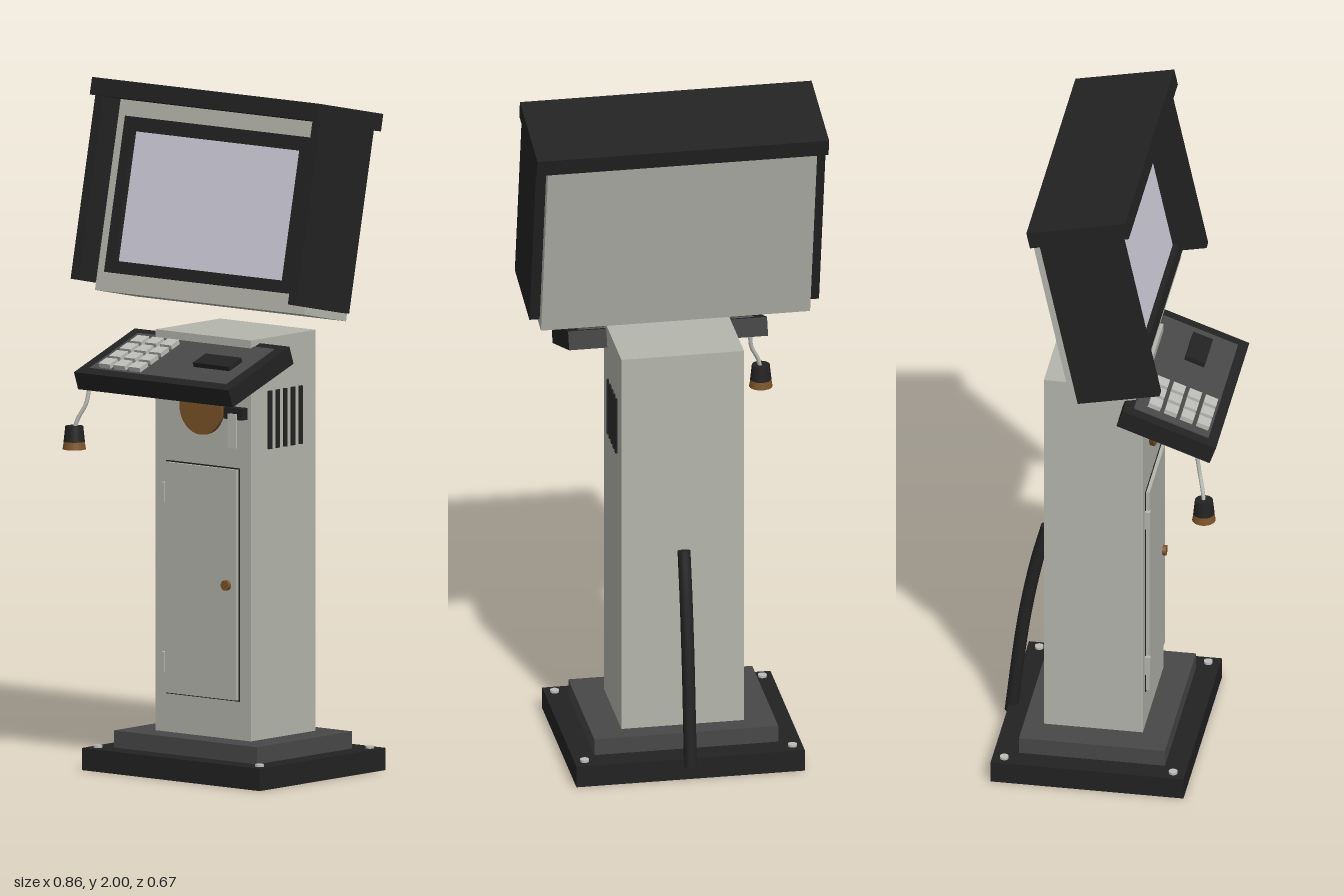
import * as THREE from 'three';

const mat = (name, color, double) => {
  const m = new THREE.MeshStandardMaterial({ color });
  m.name = name;
  if (double) m.side = THREE.DoubleSide;
  return m;
};

export function createModel() {
  const grey = mat('light grey', 0xb4b5ac);
  const black = mat('black', 0x222222);
  const dark = mat('dark grey', 0x484848);
  const glass = mat('screen lavender', 0xd0cfdb);
  const bronze = mat('bronze', 0x7c5428);
  const silver = mat('silver', 0xbcbdb8);

  const root = new THREE.Group();
  root.name = 'kiosk';

  const add = (parent, name, geo, material, x = 0, y = 0, z = 0) => {
    const m = new THREE.Mesh(geo, material);
    m.name = name;
    m.position.set(x, y, z);
    parent.add(m);
    return m;
  };
  // Box given by its limits on each axis
  const box = (parent, name, material, x0, x1, y0, y1, z0, z1) =>
    add(parent, name, new THREE.BoxGeometry(x1 - x0, y1 - y0, z1 - z0), material,
      (x0 + x1) / 2, (y0 + y1) / 2, (z0 + z1) / 2);
  // Rectangular frame, facing +z
  const frame = (x0, x1, y0, y1, hx0, hx1, hy0, hy1, depth) => {
    const rect = (P, a, b, c, d) => {
      const p = new P();
      p.moveTo(a, c); p.lineTo(b, c); p.lineTo(b, d); p.lineTo(a, d); p.closePath();
      return p;
    };
    const s = rect(THREE.Shape, x0, x1, y0, y1);
    s.holes.push(rect(THREE.Path, hx0, hx1, hy0, hy1));
    return new THREE.ExtrudeGeometry(s, { depth, bevelEnabled: false });
  };
  const disc = (parent, name, material, r, h, x, y, z) => {
    const m = add(parent, name, new THREE.CylinderGeometry(r, r, h, 32), material, x, y, z);
    m.rotation.x = Math.PI / 2;
    return m;
  };

  // Base with corner bolts
  box(root, 'basePlate', black, -0.335, 0.335, 0, 0.065, -0.32, 0.245);
  box(root, 'plinth', dark, -0.27, 0.27, 0.065, 0.115, -0.248, 0.18);
  for (const x of [-0.305, 0.305])
    for (const z of [-0.285, 0.21])
      add(root, 'baseBolt', new THREE.CylinderGeometry(0.013, 0.013, 0.008, 16), silver, x, 0.068, z);

  // Column
  box(root, 'column', grey, -0.18, 0.18, 0.115, 1.285, -0.19, 0.1);
  for (let i = 0; i < 5; i++) {
    const z = 0.018 - i * 0.0345;
    box(root, 'sideVent', black, 0.178, 0.186, 0.96, 1.13, z - 0.007, z + 0.007);
  }

  // Service door with hinges and lock
  const door = new THREE.Group();
  door.name = 'serviceDoor';
  root.add(door);
  box(door, 'doorSeam', black, -0.138, 0.138, 0.227, 0.908, 0.099, 0.102);
  box(door, 'doorPanel', grey, -0.134, 0.134, 0.231, 0.904, 0.1, 0.112);
  for (const y of [0.815, 0.32])
    box(door, 'doorHinge', grey, -0.148, -0.134, y - 0.029, y + 0.029, 0.1, 0.116);
  disc(door, 'doorLock', bronze, 0.015, 0.014, 0.1, 0.565, 0.116);

  // Round speaker and card slot on the column front
  disc(root, 'speaker', bronze, 0.08, 0.012, 0, 1.075, 0.106);
  box(root, 'cardReader', black, 0.1, 0.168, 1.053, 1.087, 0.1, 0.127);
  box(root, 'card', silver, 0.118, 0.15, 0.97, 1.07, 0.126, 0.131);

  // Monitor cabinet, leaning back; its origin is the lower front edge of the side panels
  const monitor = new THREE.Group();
  monitor.name = 'monitor';
  monitor.position.set(0, 1.42, 0.19);
  monitor.rotation.x = -0.209;
  root.add(monitor);
  box(monitor, 'cabinet', grey, -0.395, 0.395, -0.022, 0.537, -0.272, -0.08);
  for (const s of [-1, 1])
    box(monitor, 'hoodSide', black, s * 0.41 - 0.015, s * 0.41 + 0.015, 0, 0.537, -0.245, 0);
  box(monitor, 'hoodTop', black, -0.428, 0.428, 0.535, 0.586, -0.274, 0.022);
  add(monitor, 'screenBezel',
    frame(-0.35, 0.35, 0.033, 0.488, -0.315, 0.315, 0.068, 0.447, 0.025), black, 0, 0, -0.08);
  box(monitor, 'screen', glass, -0.316, 0.316, 0.067, 0.448, -0.08, -0.073);

  // Sloping console; its origin is the upper front edge, -z runs up the slope
  const con = new THREE.Group();
  con.name = 'console';
  con.position.set(0, 1.175, 0.333);
  con.rotation.x = 0.345;
  root.add(con);
  box(con, 'consoleBody', black, -0.292, 0.292, -0.055, 0, -0.29, 0);
  box(con, 'consolePanel', dark, -0.257, 0.257, -0.002, 0.003, -0.262, -0.03);
  for (let r = 0; r < 4; r++)
    for (let c = 0; c < 3; c++) {
      const x = -0.204 + c * 0.0565, z = -0.057 - r * 0.05;
      box(con, 'key', silver, x - 0.021, x + 0.021, 0, 0.017, z - 0.019, z + 0.019);
    }
  box(con, 'consoleSlot', black, 0.078, 0.213, 0, 0.017, -0.166, -0.105);

  // Handset hanging from the console on a short cord
  const handset = new THREE.Group();
  handset.name = 'handset';
  root.add(handset);
  const cord = new THREE.CatmullRomCurve3([
    new THREE.Vector3(-0.28, 1.14, 0.275), new THREE.Vector3(-0.286, 1.08, 0.285),
    new THREE.Vector3(-0.307, 1.035, 0.297), new THREE.Vector3(-0.317, 1.0, 0.302)]);
  add(handset, 'handsetCord', new THREE.TubeGeometry(cord, 20, 0.006, 8), silver);
  add(handset, 'handsetBody', new THREE.CylinderGeometry(0.026, 0.031, 0.045, 24), black, -0.317, 0.99, 0.302);
  add(handset, 'handsetTip', new THREE.CylinderGeometry(0.03, 0.034, 0.024, 24), bronze, -0.317, 0.957, 0.302);

  // Power cable behind the column
  const cable = new THREE.CatmullRomCurve3([
    new THREE.Vector3(0, 0.675, -0.21), new THREE.Vector3(0, 0.55, -0.242),
    new THREE.Vector3(0, 0.35, -0.279), new THREE.Vector3(0, 0.04, -0.316)]);
  add(root, 'powerCable', new THREE.TubeGeometry(cable, 24, 0.019, 14), black);
  for (const [t, dir] of [[0, -1], [1, 1]]) {
    const cap = add(root, 'cableEnd', new THREE.CircleGeometry(0.019, 14), black);
    cap.position.copy(cable.getPoint(t));
    cap.lookAt(cable.getPoint(t).addScaledVector(cable.getTangent(t), dir));
  }
  return root;
}
